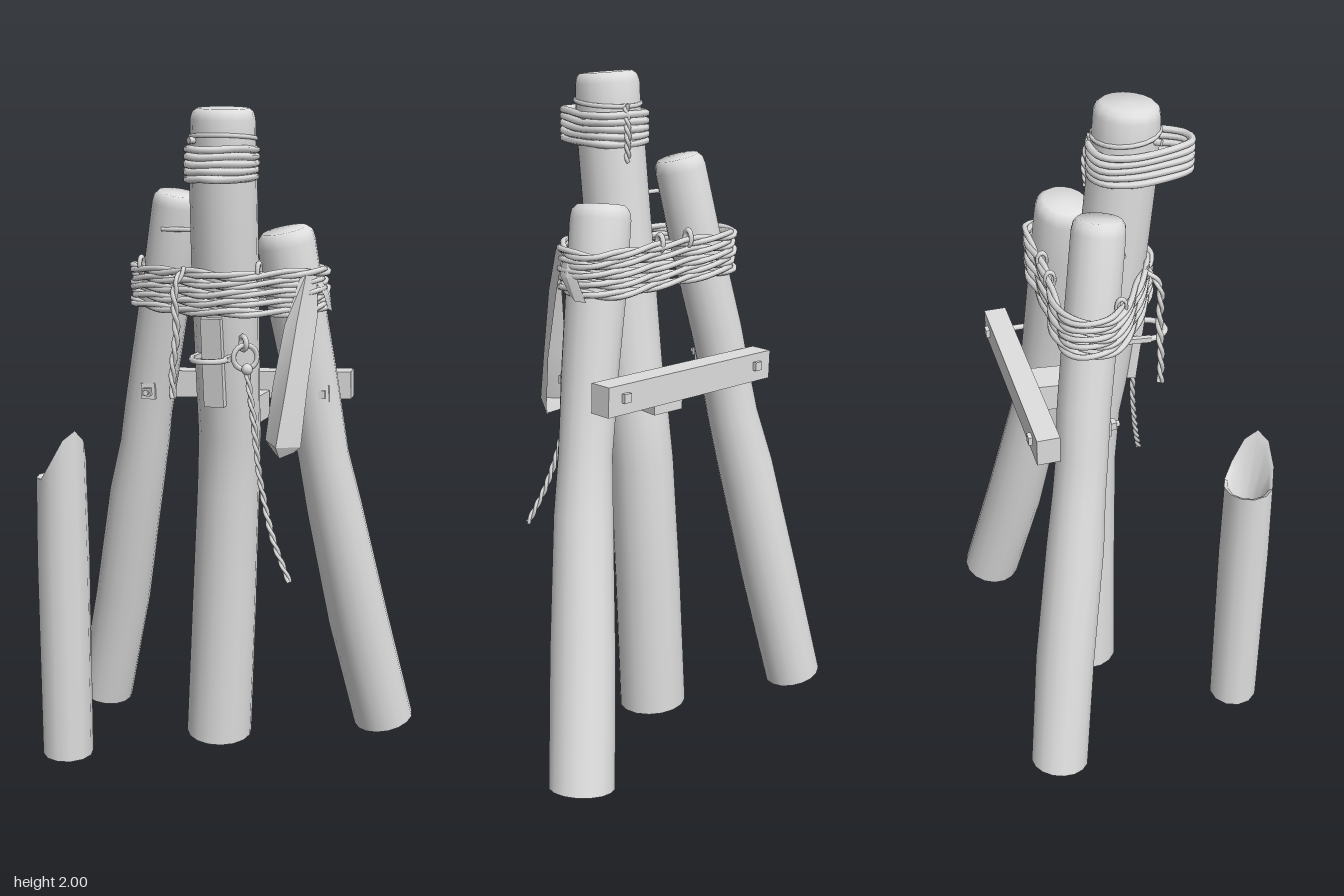
import * as THREE from 'three';
import { toCreasedNormals } from 'three/addons/utils/BufferGeometryUtils.js';

const V = (a) => new THREE.Vector3(...a);

// Closed tube through round sections [x, y, z, radius], square to the overall axis
function loft(rows, sides = 16, rim = () => 0) {
  const axis = V(rows.at(-1).slice(0, 3)).sub(V(rows[0].slice(0, 3))).normalize();
  const q = new THREE.Quaternion().setFromUnitVectors(new THREE.Vector3(0, 1, 0), axis);
  const pos = [], idx = [];
  rows.forEach(([x, y, z, r], i) => {
    for (let j = 0; j < sides; j++) {
      const a = (j / sides) * Math.PI * 2;
      const p = new THREE.Vector3(Math.sin(a) * r, rim(i, a), Math.cos(a) * r).applyQuaternion(q);
      pos.push(p.x + x, p.y + y, p.z + z);
    }
  });
  for (let i = 0; i < rows.length - 1; i++) {
    for (let j = 0; j < sides; j++) {
      const k = (j + 1) % sides, a = i * sides + j, b = i * sides + k;
      idx.push(a, b, b + sides, a, b + sides, a + sides);
    }
  }
  const n = rows.length * sides, last = n - sides;
  pos.push(...rows[0].slice(0, 3), ...rows.at(-1).slice(0, 3));
  for (let j = 0; j < sides; j++) {
    const k = (j + 1) % sides;
    idx.push(n, k, j, n + 1, last + j, last + k);
  }
  const g = new THREE.BufferGeometry();
  g.setAttribute('position', new THREE.Float32BufferAttribute(pos, 3));
  g.setIndex(idx);
  return toCreasedNormals(g, 0.95);
}

// Strand wound around a base curve
class Strand extends THREE.Curve {
  constructor(base, turns, offset, phase) {
    super();
    Object.assign(this, { base, turns, offset, phase });
  }
  getPoint(t, target = new THREE.Vector3()) {
    const tan = this.base.getTangentAt(t);
    const ref = Math.abs(tan.y) > 0.7 ? new THREE.Vector3(1, 0, 0) : new THREE.Vector3(0, 1, 0);
    const u = new THREE.Vector3().crossVectors(tan, ref).normalize();
    const v = new THREE.Vector3().crossVectors(u, tan);
    const a = t * this.turns * Math.PI * 2 + this.phase;
    return target.copy(this.base.getPointAt(t))
      .addScaledVector(u, Math.cos(a) * this.offset).addScaledVector(v, Math.sin(a) * this.offset);
  }
}

export function createModel() {
  const root = new THREE.Group();
  const grey = new THREE.MeshStandardMaterial({ color: 0xdedede, side: THREE.DoubleSide });
  grey.name = 'weathered grey';

  function add(name, geo, at = [0, 0, 0], rot = [0, 0, 0], parent = root) {
    const m = new THREE.Mesh(geo, grey);
    m.name = name;
    m.position.set(...at);
    m.rotation.set(...rot);
    parent.add(m);
    return m;
  }
  const box = (...s) => new THREE.BoxGeometry(...s);

  function rope(name, points, closed, r, turns, segments) {
    const base = new THREE.CatmullRomCurve3(points.map(V), closed);
    const g = new THREE.Group();
    g.name = name;
    root.add(g);
    for (const phase of [0, Math.PI]) {
      add('ropeStrand', new THREE.TubeGeometry(new Strand(base, turns, r * 0.75, phase), segments, r, 6, closed), undefined, undefined, g);
    }
  }

  // Three leaning posts with worn heads
  add('centrePost', loft([
    [-0.01, 0.02, -0.073, 0.105], [0.008, 0.45, -0.068, 0.102], [0.025, 0.85, -0.058, 0.097],
    [0.034, 1.02, -0.043, 0.096], [0.037, 1.12, -0.023, 0.096], [0.042, 1.45, 0.02, 0.1],
    [0.047, 1.78, 0.055, 0.099], [0.05, 1.9, 0.067, 0.095], [0.05, 1.965, 0.07, 0.094],
    [0.051, 1.985, 0.072, 0.088], [0.052, 1.995, 0.073, 0.075]]));
  add('rightPost', loft([
    [-0.485, 0.027, -0.23, 0.09], [-0.4, 0.4, -0.193, 0.091], [-0.325, 0.78, -0.145, 0.087],
    [-0.285, 0.95, -0.125, 0.079], [-0.265, 1.07, -0.112, 0.077], [-0.235, 1.22, -0.1, 0.078],
    [-0.175, 1.5, -0.065, 0.078], [-0.135, 1.715, -0.04, 0.076], [-0.131, 1.737, -0.037, 0.072],
    [-0.128, 1.75, -0.035, 0.061]]));
  add('leftPost', loft([
    [0.473, 0.025, -0.343, 0.097], [0.4, 0.4, -0.255, 0.096], [0.335, 0.78, -0.178, 0.087],
    [0.305, 0.95, -0.15, 0.079], [0.265, 1.2, -0.125, 0.083], [0.22, 1.45, -0.1, 0.088],
    [0.197, 1.605, -0.086, 0.088], [0.193, 1.631, -0.083, 0.083], [0.19, 1.645, -0.081, 0.068]]));

  // Separate broken stump with one raised splinter and a hollow top
  const spike = (i, a) => [0, 0, 0.148, 0.12, 0][i] * Math.max(0, Math.cos(a - 1)) ** 1.6;
  add('brokenStump', loft([
    [-0.34, 0.085, 0.368, 0.076], [-0.34, 0.7, 0.368, 0.077], [-0.34, 0.95, 0.368, 0.073],
    [-0.34, 0.945, 0.368, 0.062], [-0.34, 0.86, 0.368, 0.035]], 12, spike));

  // Rope lashing around all three posts
  const lashing = [[-0.28, -0.11], [-0.23, -0.155], [0, -0.172], [0.23, -0.195], [0.29, -0.175], [0.31, -0.09],
    [0.27, 0], [0.16, 0.09], [0.09, 0.132], [0.03, 0.136], [-0.05, 0.105], [-0.22, 0.02], [-0.283, -0.04]];
  for (let i = 0; i < 5; i++) {
    const s = 1 - (i % 2) * 0.02;
    rope('lashingRope', lashing.map(([x, z], k) =>
      [x * s, 1.417 + i * 0.027 + Math.sin(k * 1.7 + i) * 0.003, z * s]), true, 0.009, 5, 120);
  }
  // Small knots standing on the lashing
  for (const [x, z] of [[-0.235, 0.005], [0.165, 0.08], [0.05, -0.172], [-0.06, -0.165]]) {
    const t = add('ropeKnot', new THREE.TorusGeometry(0.024, 0.008, 6, 14), [x, 1.535, z], [0, Math.PI / 2, 0]);
    t.scale.x = 0.6;
  }

  // Loose coil around the head of the centre post
  const coil = [[-0.049, 0.06], [-0.03, -0.01], [0.045, -0.035], [0.12, -0.01], [0.141, 0.06],
    [0.125, 0.15], [0.085, 0.24], [0.05, 0.252], [0.015, 0.24], [-0.03, 0.15]];
  for (let i = 0; i < 5; i++) {
    const c = new THREE.CatmullRomCurve3(coil.map(([x, z], k) => V([x, 1.8 + i * 0.02 + Math.sin(k * 2 + i) * 0.002, z])), true);
    add('headCoil', new THREE.TubeGeometry(c, 40, 0.011, 6, true));
  }
  add('headTie', new THREE.TorusGeometry(0.094, 0.007, 6, 28), [0.05, 1.912, 0.067], [Math.PI / 2 - 0.08, 0, 0]);
  rope('coilTail', [[0.06, 1.91, -0.028], [0.065, 1.83, -0.045], [0.065, 1.75, -0.04]], false, 0.006, 3, 30);

  // Hanging rope ends
  rope('shortRopeEnd', [[-0.055, 1.54, 0.11], [-0.07, 1.49, 0.145], [-0.065, 1.35, 0.15],
    [-0.075, 1.25, 0.155], [-0.075, 1.16, 0.155]], false, 0.007, 4, 60);
  rope('longRopeEnd', [[0.135, 1.26, 0.1], [0.165, 1.1, 0.12], [0.19, 0.92, 0.125],
    [0.235, 0.76, 0.145], [0.295, 0.635, 0.168]], false, 0.006, 8, 90);

  // Iron ring with its eye
  add('ironRing', new THREE.TorusGeometry(0.036, 0.008, 6, 20), [0.13, 1.285, 0.095], [0, 0.6, 0]);
  add('ringEye', new THREE.TorusGeometry(0.02, 0.008, 6, 14), [0.12, 1.325, 0.085], [0, -0.8, 0]);
  add('ringKnot', new THREE.SphereGeometry(0.018, 8, 6), [0.137, 1.25, 0.1]);

  // Upright strap and staple on the centre post
  add('frontStrap', box(0.062, 0.27, 0.04), [0.032, 1.265, 0.092], [0.12, 0, 0]);
  const staple = add('staple', new THREE.TorusGeometry(0.052, 0.009, 6, 14, Math.PI), [0.031, 1.28, 0.13], [Math.PI / 2, 0, 0]);
  staple.scale.y = 1.1;
  for (const s of [-1, 1]) add('stapleLeg', box(0.016, 0.016, 0.09), [0.031 + s * 0.052, 1.28, 0.09]);

  // Cross plank behind, held by bolts through the outer posts
  const plank = new THREE.Group();
  plank.name = 'crossPlank';
  plank.position.set(0.02, 1.143, -0.252);
  plank.rotation.set(0, 0.112, 0.035);
  root.add(plank);
  add('plank', box(0.676, 0.086, 0.068), undefined, undefined, plank);
  for (const x of [-0.275, 0.275]) {
    add('boltHead', box(0.026, 0.026, 0.014), [x, 0.005, -0.039], undefined, plank);
    add('boltShank', new THREE.CylinderGeometry(0.009, 0.009, 0.25, 8), [x, 0.005, 0.1], [Math.PI / 2, 0, 0], plank);
    add('boltWasher', box(0.045, 0.05, 0.012), [x, 0.005, x < 0 ? 0.19 : 0.2], undefined, plank);
    add('boltNut', box(0.024, 0.024, 0.02), [x, 0.005, x < 0 ? 0.205 : 0.215], undefined, plank);
  }
  add('spacerBlock', box(0.105, 0.085, 0.1), [0.053, 1.087, -0.168]);

  // Pegs
  add('longPeg', new THREE.CylinderGeometry(0.007, 0.007, 0.13, 8), [-0.095, 1.645, 0.025], [0, 0, Math.PI / 2]);
  add('headNail', new THREE.CylinderGeometry(0.01, 0.01, 0.03, 8), [-0.015, 1.905, 0.14], [Math.PI / 2, 0, 0.6]);

  // Torn cloth hung over the lashing: each row is left edge, fold, right edge
  function cloth(name, rows) {
    const idx = [];
    for (let i = 0; i < rows.length - 1; i++) {
      for (let j = 0; j < 2; j++) {
        const a = i * 3 + j;
        idx.push(a, a + 3, a + 1, a + 1, a + 3, a + 4);
      }
    }
    const g = new THREE.BufferGeometry();
    g.setAttribute('position', new THREE.Float32BufferAttribute(rows.flat(2), 3));
    g.setIndex(idx);
    add(name, toCreasedNormals(g, 0.4));
  }
  cloth('longClothFlap', [
    [[0.268, 1.51, 0.015], [0.285, 1.525, 0.005], [0.302, 1.515, -0.05]],
    [[0.235, 1.38, 0.05], [0.275, 1.39, 0.06], [0.312, 1.4, -0.03]],
    [[0.208, 1.2, 0.075], [0.26, 1.2, 0.112], [0.302, 1.2, 0.03]],
    [[0.19, 1.04, 0.085], [0.245, 1.035, 0.157], [0.292, 1.02, 0.06]],
    [[0.215, 1.01, 0.09], [0.245, 0.995, 0.12], [0.275, 1.005, 0.075]]]);
  cloth('shortClothFlap', [
    [[0.29, 1.515, -0.04], [0.3, 1.525, -0.07], [0.298, 1.51, -0.1]],
    [[0.32, 1.46, -0.06], [0.325, 1.46, -0.1], [0.318, 1.46, -0.14]],
    [[0.322, 1.41, -0.11], [0.326, 1.4, -0.14], [0.315, 1.4, -0.175]]]);
  return root;
}
